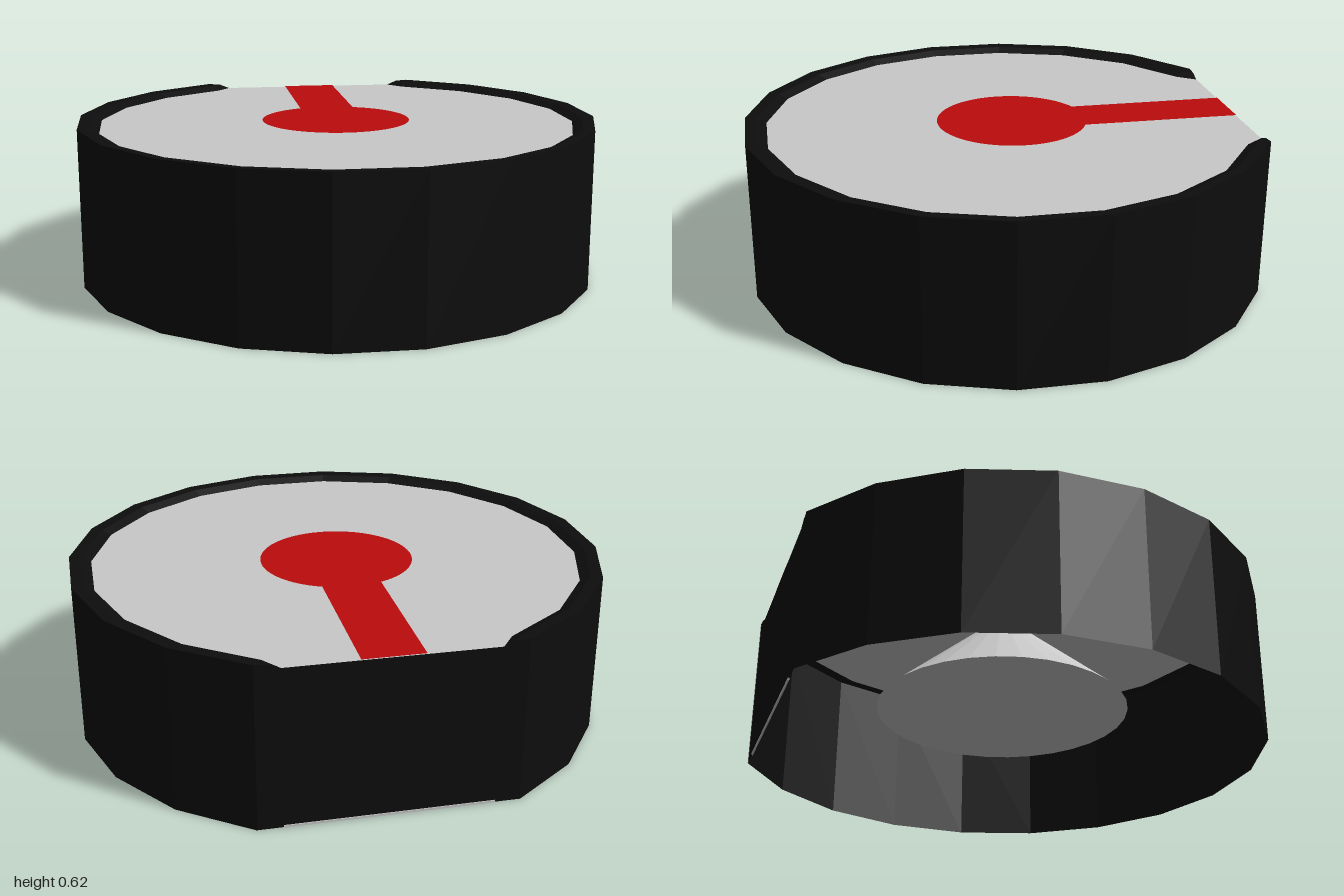
import * as THREE from 'three';

const black = new THREE.MeshStandardMaterial({ color: 0x0d0d0d, side: THREE.DoubleSide, flatShading: true });
black.name = 'black shell';
const grey = new THREE.MeshStandardMaterial({ color: 0xc9c9c9, side: THREE.DoubleSide, flatShading: true });
grey.name = 'light grey';
const red = new THREE.MeshStandardMaterial({ color: 0xbc0c0c, side: THREE.DoubleSide });
red.name = 'red marker';

const CZ = -0.05;    // axis of the round body
const BACK = -0.95;  // plane of the flat back
const TOP = 0.615;
const FACE = 0.595;  // height of the recessed face

// Twenty-sided outline, open at the flat back, with an end point on the flat
function outline(radius, endX) {
  const pts = [[endX, BACK]];
  for (let k = 0; k < 18; k++) {
    const a = THREE.MathUtils.degToRad(-63 + 18 * k);
    pts.push([radius * Math.cos(a), CZ + radius * Math.sin(a)]);
  }
  pts.push([-endX, BACK]);
  return pts;
}

// Skin through a stack of outlines, each with its own height
function loft(rings) {
  const pos = [], index = [], n = rings[0].pts.length;
  for (const { pts, y } of rings) for (const [x, z] of pts) pos.push(x, y, z);
  for (let r = 0; r < rings.length - 1; r++) {
    for (let i = 0; i < n - 1; i++) {
      const a = r * n + i, b = a + 1, c = a + n, d = c + 1;
      index.push(a, c, b, b, c, d);
    }
  }
  const g = new THREE.BufferGeometry();
  g.setAttribute('position', new THREE.Float32BufferAttribute(pos, 3));
  g.setIndex(index);
  g.computeVertexNormals();
  return g;
}

// Horizontal plate facing up; shape y is -z
function plate(shape, y) {
  return new THREE.ShapeGeometry(shape, 48).rotateX(-Math.PI / 2).translate(0, y, 0);
}

export function createModel() {
  const model = new THREE.Group();
  model.name = 'knob';
  const add = (name, geometry, material) => {
    const mesh = new THREE.Mesh(geometry, material);
    mesh.name = name;
    model.add(mesh);
    return mesh;
  };

  // Thin outer wall and rounded rim
  const outer = outline(1.0125, 0.46);
  const middle = outline(0.968, 0.412);
  const inner = outline(0.9303, 0.37);
  add('sideWall', loft([{ pts: outer, y: 0 }, { pts: outer, y: TOP }]), black);
  add('rim', loft([{ pts: outer, y: TOP }, { pts: middle, y: 0.612 }, { pts: inner, y: FACE }]), black);

  // Flat back, lower between the two rim ends
  const back = new THREE.Shape([
    [-0.46, 0], [0.46, 0], [0.46, TOP], [0.412, 0.612], [0.37, FACE],
    [-0.37, FACE], [-0.412, 0.612], [-0.46, TOP],
  ].map(([x, y]) => new THREE.Vector2(x, y)));
  add('flatBack', new THREE.ShapeGeometry(back).rotateY(Math.PI).translate(0, 0, BACK), black);

  // Thin lip along the bottom of the flat
  add('backLip', new THREE.BoxGeometry(0.74, 0.008, 0.006).translate(0, 0.004, BACK), grey);

  // Recessed face
  const face = new THREE.Shape(inner.map(([x, z]) => new THREE.Vector2(x, -z)));
  add('face', plate(face, FACE), grey);

  // Keyhole-shaped pointer mark
  const r = 0.29, w = 0.11, cy = 0.07;
  const a = Math.acos(w / r);
  const mark = new THREE.Shape();
  mark.moveTo(w, 0.95);
  mark.lineTo(-w, 0.95);
  mark.lineTo(-w, cy + r * Math.sin(a));
  mark.absarc(0, cy, r, Math.PI - a, 2 * Math.PI + a, false);
  mark.lineTo(w, 0.95);
  add('pointerMark', plate(mark, FACE + 0.003), red);

  // Cone hanging under the face
  add('innerCone', new THREE.ConeGeometry(0.49, 0.42, 32).translate(0, 0.38, CZ), grey);

  return model;
}
